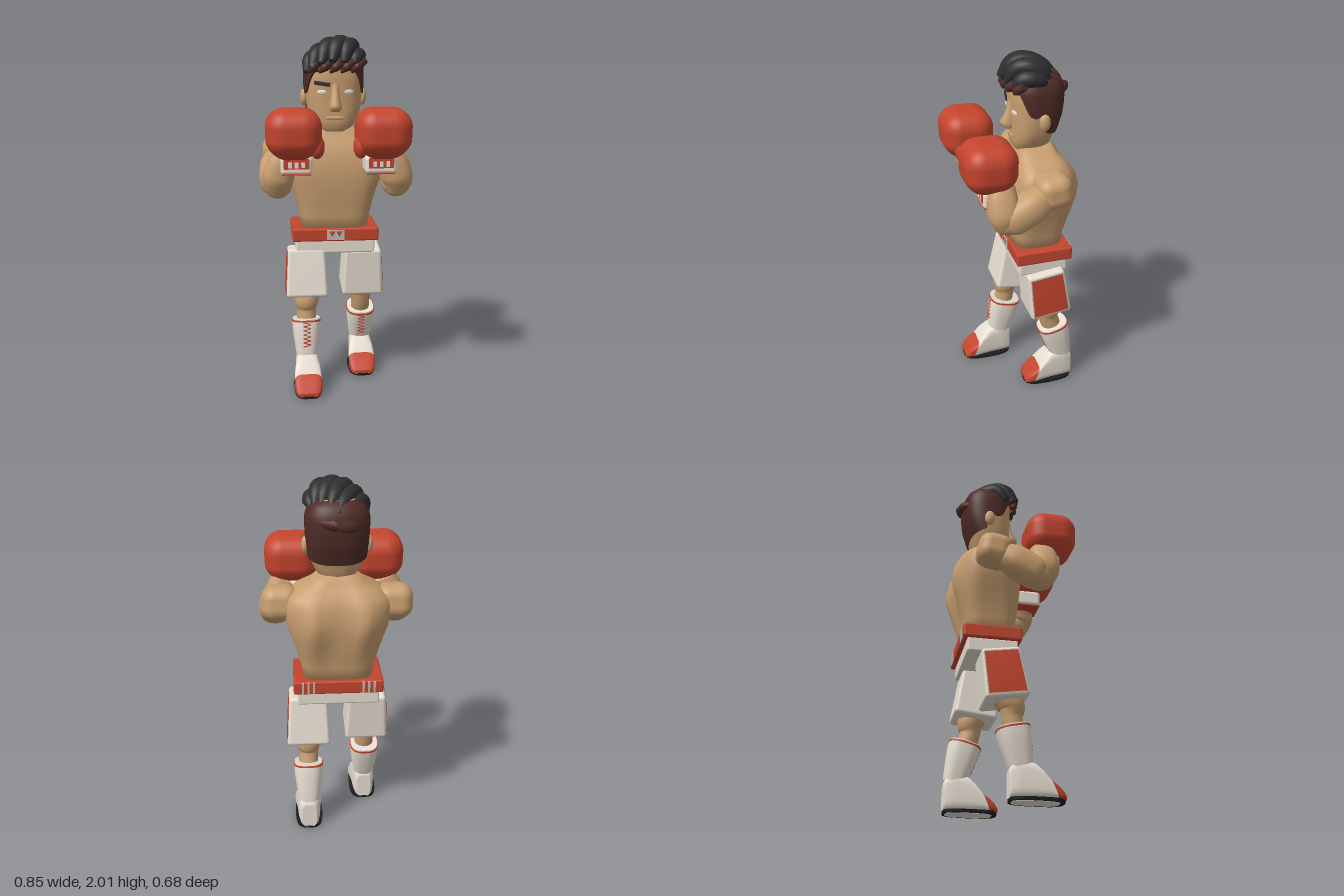
import * as THREE from 'three';
import { mergeVertices } from 'three/addons/utils/BufferGeometryUtils.js';
import { RoundedBoxGeometry } from 'three/addons/geometries/RoundedBoxGeometry.js';

const V = (x, y, z) => new THREE.Vector3(x, y, z);
const mat = (name, color) => Object.assign(new THREE.MeshStandardMaterial({ color }), { name });
const power = (t, e) => Math.sign(t) * Math.abs(t) ** e;

// Linear lookup in a table of rows sorted by their first entry
function lookup(rows, t) {
  let i = 0;
  while (i < rows.length - 2 && t > rows[i + 1][0]) i++;
  const k = THREE.MathUtils.clamp((t - rows[i][0]) / (rows[i + 1][0] - rows[i][0]), 0, 1);
  return rows[i].map((a, j) => a + (rows[i + 1][j] - a) * k);
}

// Superellipse ring around c, spanned by u and v
function ring(c, u, v, e = 1, n = 32) {
  return Array.from({ length: n }, (_, j) => {
    const a = (j / n) * Math.PI * 2;
    return c.clone().addScaledVector(u, power(Math.cos(a), e)).addScaledVector(v, power(Math.sin(a), e));
  });
}

// Smooth skin over rings, with flat caps
function loft(rings) {
  const n = rings[0].length, pts = rings.flat(), idx = [];
  for (let i = 0; i < rings.length - 1; i++) for (let j = 0; j < n; j++) {
    const a = i * n + j, b = i * n + (j + 1) % n;
    idx.push(a, b, b + n, a, b + n, a + n);
  }
  [rings[0], rings[rings.length - 1]].forEach((r, end) => {
    const o = pts.length;
    pts.push(...r, r.reduce((s, p) => s.add(p), V(0, 0, 0)).divideScalar(n));
    for (let j = 0; j < n; j++) {
      const a = o + j, b = o + (j + 1) % n;
      end ? idx.push(a, b, o + n) : idx.push(b, a, o + n);
    }
  });
  const g = new THREE.BufferGeometry().setFromPoints(pts);
  g.setIndex(idx);
  g.computeVertexNormals();
  return g;
}

// Upright loft; row = [y, rx, rz, cz]
const stack = (rows, e) => loft(rows.map(([y, rx, rz, cz = 0]) => ring(V(0, y, cz), V(rx, 0, 0), V(0, 0, -rz), e, 48)));

// Tapered tube along a curve with a list of radii
function limb(points, radii, flat = 1, e = 1) {
  const curve = new THREE.CatmullRomCurve3(points.map(p => V(...p))), N = 16;
  const table = radii.map((r, i) => [i / (radii.length - 1), r]);
  return loft(Array.from({ length: N + 1 }, (_, i) => {
    const t = i / N, d = curve.getTangent(t), r = lookup(table, t)[1];
    const u = V(1, 0, 0).addScaledVector(d, -d.x).normalize();
    return ring(curve.getPoint(t), u.clone().multiplyScalar(r), d.clone().cross(u).multiplyScalar(r * flat), e, 20);
  }));
}

// Move vertices by a rule and smooth again
function warp(geo, rule) {
  geo.deleteAttribute('uv');
  geo.deleteAttribute('normal');
  const g = mergeVertices(geo, 1e-5), p = g.attributes.position, v = V(0, 0, 0);
  for (let i = 0; i < p.count; i++) {
    rule(v.fromBufferAttribute(p, i));
    p.setXYZ(i, v.x, v.y, v.z);
  }
  g.computeVertexNormals();
  return g;
}

export function createModel() {
  const root = new THREE.Group();
  root.name = 'boxer';
  const skin = mat('skin', 0xc89e70), red = mat('red', 0xc4452e), white = mat('white', 0xebe2d5), grey = mat('trim grey', 0xc0bbb0);
  const black = mat('black hair', 0x2f2f31), brown = mat('brown hair', 0x4f2c26), dark = mat('sole', 0x1d1e22);

  const add = (name, geo, m, x = 0, y = 0, z = 0, parent = root) => {
    const mesh = new THREE.Mesh(geo, m);
    mesh.name = name;
    mesh.position.set(x, y, z);
    parent.add(mesh);
    return mesh;
  };
  const group = (name, x, y, z) => {
    const g = new THREE.Group();
    g.name = name;
    g.position.set(x, y, z);
    root.add(g);
    return g;
  };
  const box = (w, h, d) => new THREE.BoxGeometry(w, h, d);
  const rbox = (w, h, d, r) => new RoundedBoxGeometry(w, h, d, 5, r);
  const ball = (rx, ry, rz) => new THREE.SphereGeometry(1, 24, 16).scale(rx, ry, rz);

  // Torso: square chest, spine groove and shoulder blades
  const torso = stack([[0.92, 0.19, 0.14, -0.12], [1.0, 0.203, 0.147, -0.122], [1.08, 0.222, 0.164, -0.128], [1.16, 0.247, 0.181, -0.137],
    [1.22, 0.27, 0.192, -0.144], [1.28, 0.285, 0.193, -0.146], [1.35, 0.289, 0.178, -0.143], [1.4, 0.268, 0.155, -0.138],
    [1.44, 0.212, 0.126, -0.13], [1.47, 0.145, 0.104, -0.124], [1.51, 0.095, 0.088, -0.12]], 0.52);
  add('torso', warp(torso, v => {
    const k = Math.exp(-((v.y - 1.25) ** 2) / 0.025), ax = Math.abs(v.x);
    if (v.z < -0.14) {
      v.z += k * 0.06 * Math.max(0, (ax - 0.14) / 0.14) * (-0.14 - v.z) / 0.19;
      v.z += k * (0.045 * Math.exp(-((ax / 0.07) ** 2)) - 0.008 * Math.exp(-(((ax - 0.14) / 0.06) ** 2)));
    }
  }), skin);
  add('neck', stack([[1.4, 0.1, 0.09, -0.115], [1.55, 0.085, 0.085, -0.118]]), skin);

  // Waistband
  add('belt', rbox(0.49, 0.075, 0.32, 0.01), red, 0, 0.8975, -0.125);
  add('shortsTop', rbox(0.45, 0.08, 0.275, 0.01), white, 0, 0.825, -0.1225);
  add('buckle', box(0.1, 0.058, 0.008), grey, 0, 0.898, 0.036);
  for (const x of [-0.02, 0.02]) {
    const notch = new THREE.Shape([new THREE.Vector2(-0.018, 0.02), new THREE.Vector2(0, -0.012), new THREE.Vector2(0.018, 0.02)]);
    add('buckleNotch', new THREE.ExtrudeGeometry(notch, { depth: 0.003, bevelEnabled: false }), red, x, 0.9, 0.039);
  }
  for (const s of [-1, 1]) for (const dx of [-0.03, 0, 0.03])
    add('beltStripe', box(0.012, 0.07, 0.006), grey, s * 0.165 + dx, 0.8975, -0.285);

  // Head
  const rows = [[1.48, 0.08, 0.085, -0.1], [1.5, 0.1, 0.103, -0.102], [1.54, 0.125, 0.111, -0.104], [1.6, 0.15, 0.12, -0.115],
    [1.68, 0.158, 0.133, -0.127], [1.75, 0.162, 0.139, -0.129], [1.82, 0.162, 0.138, -0.13], [1.87, 0.145, 0.12, -0.13], [1.91, 0.1, 0.085, -0.13], [1.925, 0.03, 0.03, -0.13]];
  add('head', stack(rows, 0.8), skin);
  add('nose', stack([[1.594, 0.026, 0.022, 0.008], [1.61, 0.036, 0.045, 0.013], [1.63, 0.034, 0.047, 0.012], [1.67, 0.026, 0.035, 0.001], [1.72, 0.022, 0.022, -0.003], [1.76, 0.024, 0.01, -0.004]]), skin);
  add('lips', ball(0.055, 0.012, 0.007), skin, 0, 1.557, 0.004);
  for (const s of [-1, 1]) {
    add('ear', ball(0.022, 0.047, 0.03), skin, s * 0.166, 1.663, -0.135);
    add('eye', ball(0.027, 0.013, 0.005), white, s * 0.075, 1.7, 0.004).rotation.y = s * 0.25;
  }
  const eyebrow = add('eyebrow', rbox(0.09, 0.022, 0.009, 0.004), black, -0.073, 1.746, 0.007);
  eyebrow.rotation.set(0, -0.2, -0.14);

  // Short brown hair: a shell over the head above a hairline
  const hairline = [[-1, 1.83], [-0.8, 1.81], [-0.5, 1.7], [-0.25, 1.685], [0.05, 1.715], [0.25, 1.6], [1, 1.575]];
  const hairRings = Array.from({ length: 15 }, (_, k) => Array.from({ length: 64 }, (_, j) => {
    const a = (j / 64) * Math.PI * 2, s = power(Math.sin(a), 0.8);
    const low = lookup(hairline, s)[1], y = low + (1.925 - low) * (k / 14);
    const [, rx, rz, cz] = lookup(rows, y);
    return V((rx + 0.008) * power(Math.cos(a), 0.8), y + (k === 14 ? 0.008 : 0), cz - (rz + 0.009) * s);
  }));
  add('sideHair', loft(hairRings), brown);
  add('backTuft', limb([[-0.13, 1.77, -0.225], [-0.06, 1.79, -0.272], [0.02, 1.8, -0.28], [0.12, 1.81, -0.235]], [0.005, 0.026, 0.028, 0.005], 1.2), brown);
  // Short brown locks above the forehead
  for (let i = 0; i < 5; i++) {
    const x = -0.12 + i * 0.06, z = 0.012 - 2 * x * x;
    add('fringeLock', limb([[x - 0.03, 1.805, z + 0.01], [x, 1.835, z + 0.022], [x + 0.04, 1.87, z - 0.01]], [0.006, 0.025, 0.024]), brown);
  }

  // Swept strands: front x, z, y; back x, z, y; crest height
  [[-0.155, -0.04, 1.805, -0.05, -0.24, 1.865, 1.875], [-0.128, 0.012, 1.83, 0, -0.262, 1.86, 1.912], [-0.08, 0.04, 1.855, 0.045, -0.245, 1.87, 1.942],
    [-0.02, 0.048, 1.868, 0.09, -0.215, 1.87, 1.952], [0.045, 0.04, 1.862, 0.12, -0.19, 1.865, 1.94],
    [0.105, 0.015, 1.85, 0.135, -0.165, 1.85, 1.89]].forEach(([x, z, y, bx, bz, by, top]) => {
    const mix = (k, out) => [x + (bx - x) * k + out, top, z + (bz - z) * k];
    add('hairStrand', limb([[x, y, z], mix(0.25, 0.004), mix(0.6, 0.008), [bx, by, bz]], [0.02, 0.042, 0.05, 0.05, 0.038, 0.006], 0.9), black);
  });

  // Arms raised in guard
  for (const s of [-1, 1]) {
    add('shoulder', rbox(0.2, 0.185, 0.19, 0.068), skin, s * 0.305, 1.347, -0.137).rotation.x = 0.15;
    add('upperArm', limb([[s * 0.318, 1.33, -0.1], [s * 0.333, 1.285, -0.02], [s * 0.335, 1.225, 0.09], [s * 0.33, 1.2, 0.14]], [0.07, 0.09, 0.09, 0.06], 1, 0.85), skin);
    add('elbow', ball(0.08, 0.08, 0.085), skin, s * 0.325, 1.215, 0.115);
    add('forearm', limb([[s * 0.325, 1.17, 0.12], [s * 0.325, 1.25, 0.135], [s * 0.3, 1.33, 0.14], [s * 0.275, 1.39, 0.138]], [0.06, 0.088, 0.083, 0.072], 1, 0.85), skin);
    // Glove, thumb and cuff
    add('glove', warp(new RoundedBoxGeometry(0.3, 0.27, 0.285, 8, 0.1), v => {
      const k = 1 - 0.22 * Math.max(0, -v.y / 0.135) ** 2;
      v.x *= k; v.z *= k;
    }), red, s * 0.24, 1.498, 0.192);
    add('thumb', ball(0.04, 0.065, 0.06), red, s * 0.116, 1.432, 0.225);
    const cuff = group('cuff', s * 0.227, 1.33, 0.155);
    add('cuffBase', rbox(0.17, 0.095, 0.165, 0.02), white, 0, 0, 0, cuff);
    add('cuffPatch', box(0.135, 0.055, 0.006), red, 0, 0.012, 0.083, cuff);
    for (const dx of [-0.035, 0, 0.035]) add('cuffMark', box(0.02, 0.03, 0.004), white, dx, 0.007, 0.086, cuff);
    add('cuffLine', rbox(0.155, 0.008, 0.16, 0.003), red, 0, -0.045, 0, cuff);
  }

  // Legs in stride: side, shorts centre z, tilt, knee z, boot top lean, heel z
  const taper = v => { const k = 1 - 0.12 * (v.y / 0.27 + 0.5); v.x *= k; v.z *= k; };
  const foot = (list) => loft(list.map(([b, t, w, k]) =>
    ring(V(0, (t + 0.012) / 2, b), V(w, 0, 0), V(0, (t - 0.012) / 2, 0), 0.5).map(p => p.setZ(p.z - k * p.y))));
  const cap = [0.253, 0.115, 0.079, 0.42];
  for (const [s, z, tilt, knee, lean, heel] of [[-1, -0.068, -0.15, -0.01, -0.2, -0.03], [1, -0.145, 0.12, -0.175, 0.25, -0.317]]) {
    const shorts = group('shortsLeg', s * 0.166, 0.66, z);
    shorts.rotation.x = tilt;
    add('shortsCloth', warp(rbox(0.24, 0.28, 0.24, 0.02), taper), white, 0, 0, 0, shorts);
    const panel = (w, h, d, x) => warp(box(w, h, d).translate(s * x, 0, 0).toNonIndexed(), taper);
    add('panelTrim', panel(0.004, 0.248, 0.215, 0.119), grey, 0, 0, 0, shorts);
    add('sidePanel', panel(0.005, 0.236, 0.204, 0.1205), red, 0, 0, 0, shorts);
    add('knee', limb([[s * 0.168, 0.36, knee + (s < 0 ? 0.015 : -0.03)], [s * 0.168, 0.45, knee], [s * 0.168, 0.5, knee], [s * 0.168, 0.6, z]], [0.055, 0.056, 0.072, 0.08]), skin);

    // Boot shaft with trim and laces
    const shaft = group('bootShaft', s * 0.17, 0.185, heel + 0.064);
    shaft.rotation.x = lean;
    const rz = y => 0.066 + 0.024 * y / 0.21;
    add('shaft', stack([[-0.02, 0.058, 0.06], [0.02, 0.064, 0.068], [0.12, 0.078, 0.083], [0.19, 0.083, 0.09], [0.212, 0.079, 0.087]], 0.75), white, 0, 0, 0, shaft);
    add('bootTrim', stack([[0.195, 0.084, 0.091], [0.205, 0.084, 0.091]], 0.75), red, 0, 0, 0, shaft);
    const lace = Array.from({ length: 13 }, (_, i) => V(i % 2 ? 0.022 : -0.022, 0.05 + i * 0.012, rz(0.05 + i * 0.012) + 0.001));
    add('laces', new THREE.TubeGeometry(new THREE.CatmullRomCurve3(lace, false, 'catmullrom', 0), 72, 0.0035, 5), red, 0, 0, 0, shaft);

    // Foot, toe cap and sole
    const shoe = group('bootFoot', s * 0.17, 0, heel);
    add('foot', foot([[0, 0.16, 0.042, 0], [0.012, 0.195, 0.055, 0], [0.06, 0.212, 0.064, 0], [0.13, 0.2, 0.068, 0], [0.205, 0.165, 0.076, 0.22], cap]), white, 0, 0, 0, shoe);
    add('toeCap', foot([cap, [0.272, 0.09, 0.076, 0.35], [0.284, 0.06, 0.068, 0.2], [0.29, 0.035, 0.055, 0]]), red, 0, 0, 0, shoe);
    add('sole', stack([[0.002, 0.077, 0.145, 0.146], [0.018, 0.079, 0.147, 0.146]], 0.65), dark, 0, 0, 0, shoe);
    add('soleInlay', stack([[0, 0.06, 0.125, 0.14], [0.004, 0.06, 0.125, 0.14]], 0.65), white, 0, 0, 0, shoe);
  }
  return root;
}
